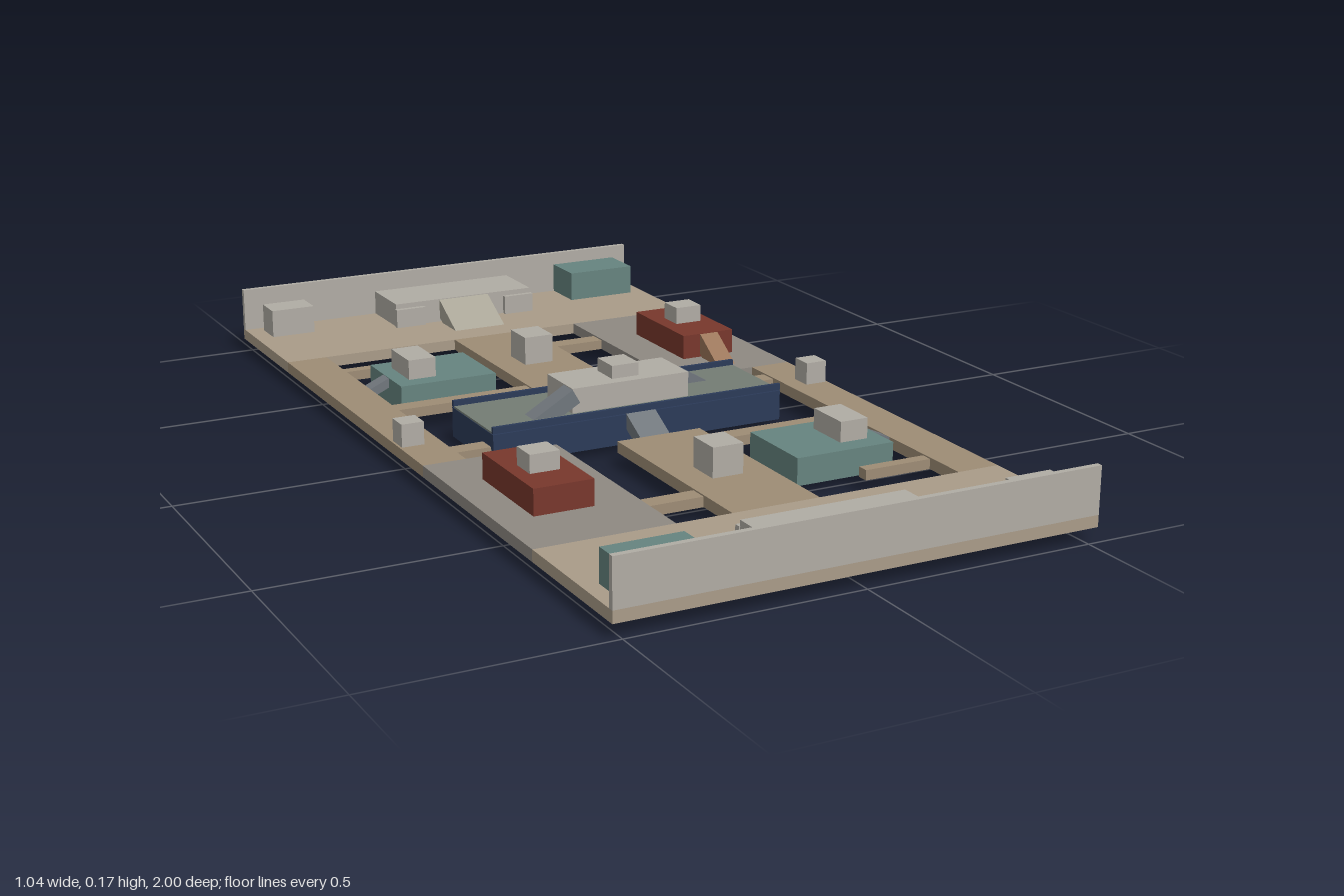
import * as THREE from 'three';

const mat = (color) => new THREE.MeshStandardMaterial({ color, side: THREE.DoubleSide, flatShading: true });
const M = {
  sand: mat(0xa99b88), path: mat(0x9d8c75), slab: mat(0x8e8982), stone: mat(0xb0aca4),
  teal: mat(0x66847f), red: mat(0x78372c), copper: mat(0x9a7558), deck: mat(0x737c74),
  navy: mat(0x2b3a58), steel: mat(0x70767c), ramp: mat(0xa8a496),
};

// Box shell without its underside
function shell(w, h, d) {
  const g = new THREE.BoxGeometry(w, h, d);
  const idx = Array.from(g.index.array);
  idx.splice(18, 6);
  g.setIndex(idx);
  g.clearGroups();
  return g;
}

// Block given by its extents
function block(parent, name, m, x0, x1, y0, y1, z0, z1) {
  const mesh = new THREE.Mesh(shell(x1 - x0, y1 - y0, z1 - z0), m);
  mesh.position.set((x0 + x1) / 2, (y0 + y1) / 2, (z0 + z1) / 2);
  mesh.name = name;
  parent.add(mesh);
}

// Tilted slab whose upper face starts at (x, y, z) and falls by drop over run, heading along turn
function ramp(parent, name, m, x, y, z, width, run, drop, thick, turn) {
  const len = Math.hypot(run, drop);
  const g = shell(width, thick, len);
  g.translate(0, -thick / 2, len / 2);
  g.rotateX(Math.atan2(drop, run));
  g.rotateY(turn);
  const mesh = new THREE.Mesh(g, m);
  mesh.position.set(x, y, z);
  mesh.name = name;
  parent.add(mesh);
}

// One half of the layout; the other is the same turned half a circle
function createHalf() {
  const h = new THREE.Group();
  const lo = 0.035, top = 0.06;

  // End court, wall and gatehouse
  block(h, 'endCourt', M.sand, -0.52, 0.52, lo, top, 0.675, 1);
  block(h, 'endWall', M.stone, -0.52, 0.52, top, 0.16, 0.987, 1);
  block(h, 'gatehouse', M.stone, -0.18, 0.18, top, 0.117, 0.845, 0.987);
  for (const s of [-1, 1]) block(h, 'gatehouseFlank', M.stone, s * 0.145 - 0.038, s * 0.145 + 0.038, top, 0.105, 0.833, 0.846);
  ramp(h, 'gatehouseRamp', M.ramp, 0, 0.115, 0.845, 0.13, 0.135, 0.075, 0.04, Math.PI);
  block(h, 'cornerHut', M.stone, 0.375, 0.48, top, 0.125, 0.895, 0.965);
  block(h, 'cornerStore', M.teal, -0.485, -0.315, top, 0.13, 0.88, 0.987);

  // Central walkway
  block(h, 'walkway', M.path, -0.098, 0.098, lo, top, 0.19, 0.675);
  block(h, 'walkwayPost', M.stone, -0.035, 0.035, top, 0.125, 0.405, 0.485);

  // Side path, cross beams
  block(h, 'sidePath', M.path, 0.425, 0.52, lo, top, -0.15, 0.675);
  block(h, 'sidePost', M.stone, 0.465, 0.515, top, 0.11, -0.025, 0.025);
  block(h, 'crossBeam', M.path, 0.098, 0.425, lo, 0.057, 0.225, 0.267);
  block(h, 'stubBeam', M.path, 0.27, 0.425, lo, 0.057, 0.548, 0.574);
  block(h, 'terraceBeam', M.path, -0.22, -0.098, lo, 0.057, 0.52, 0.562);
  block(h, 'deckBeam', M.path, -0.425, -0.345, lo, 0.057, 0.055, 0.097);

  // Terrace with red block
  block(h, 'terrace', M.slab, -0.52, -0.22, lo, top, 0.15, 0.675);
  block(h, 'redBlock', M.red, -0.445, -0.315, top, 0.116, 0.28, 0.52);
  block(h, 'redBlockRoof', M.stone, -0.415, -0.35, 0.116, 0.155, 0.38, 0.44);
  ramp(h, 'redBlockRamp', M.copper, -0.382, 0.115, 0.28, 0.046, 0.12, 0.078, 0.04, Math.PI);

  // Sunken teal platform
  block(h, 'tealPlatform', M.teal, 0.15, 0.38, 0.02, 0.08, 0.315, 0.505);
  block(h, 'tealPlatformRoof', M.stone, 0.28, 0.345, 0.08, 0.125, 0.355, 0.46);
  ramp(h, 'tealPlatformRamp', M.steel, 0.38, 0.079, 0.407, 0.034, 0.05, 0.022, 0.02, Math.PI / 2);

  // Ramps and rails of the centre deck
  ramp(h, 'deckRamp', M.steel, 0, 0.092, 0.1, 0.07, 0.087, 0.046, 0.03, 0);
  ramp(h, 'keepRamp', M.steel, 0.14, 0.143, -0.042, 0.044, 0.13, 0.075, 0.035, Math.PI / 2);
  block(h, 'deckRail', M.navy, -0.345, 0.345, 0.088, 0.102, 0.1, 0.108);
  return h;
}

export function createModel() {
  const model = new THREE.Group();
  model.name = 'arena';
  for (const i of [0, 1]) {
    const half = createHalf();
    half.name = i ? 'backHalf' : 'frontHalf';
    half.rotation.y = i * Math.PI;
    model.add(half);
  }

  // Centre deck: navy sides, pale top, stepped keep
  block(model, 'deckBase', M.navy, -0.345, 0.345, 0.02, 0.086, -0.108, 0.108);
  block(model, 'deckTop', M.deck, -0.344, 0.344, 0.084, 0.09, -0.1, 0.1);
  block(model, 'keep', M.stone, -0.14, 0.14, 0.09, 0.145, -0.062, 0.062);
  block(model, 'keepRoof', M.stone, -0.032, 0.032, 0.145, 0.174, -0.035, 0.035);
  return model;
}
